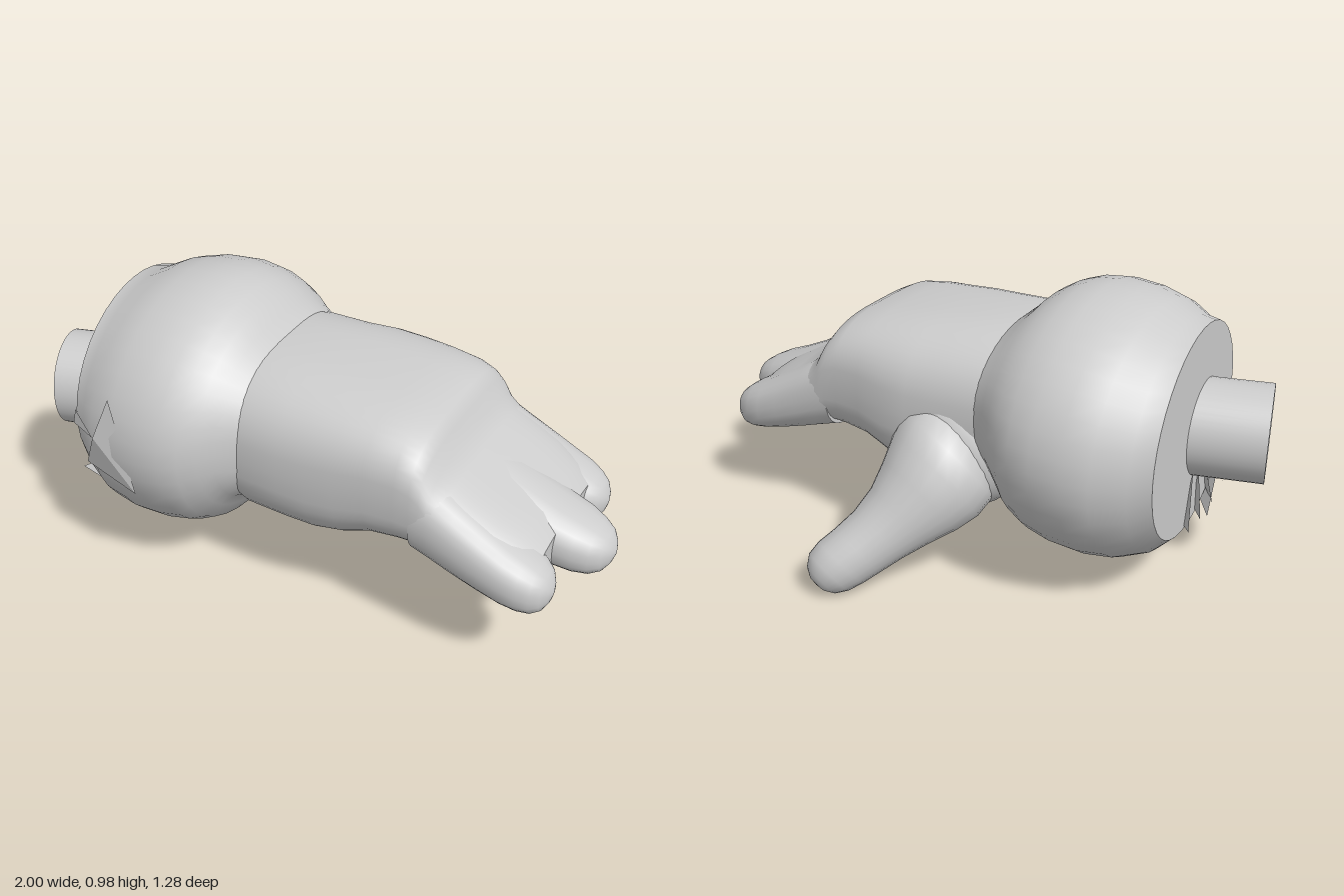
import * as THREE from 'three';

const grey = new THREE.MeshStandardMaterial({ color: 0xcccccc, side: THREE.DoubleSide });
grey.name = 'light grey';

// Loft along x. Each section: [x, yBottom, yTop, zMin, zMax, squareness]
// tilt leans the end rings sideways, taper narrows the upper half
function loft(sections, n, { tilt = () => 0, taper = 0 } = {}) {
  const pos = [], index = [];
  const ring = ([x, y0, y1, z0, z1, e]) => {
    for (let j = 0; j < n; j++) {
      const a = (j / n) * Math.PI * 2, c = Math.cos(a), s = Math.sin(a);
      const dy = Math.sign(c) * Math.abs(c) ** (2 / e) * (y1 - y0) / 2;
      const dz = Math.sign(s) * Math.abs(s) ** (2 / e) * (z1 - z0) / 2 * (1 - taper * Math.max(0, c));
      pos.push(x + tilt(x) * dz, (y0 + y1) / 2 + dy, (z0 + z1) / 2 + dz);
    }
  };
  sections.forEach(ring);
  for (let i = 0; i < sections.length - 1; i++) {
    for (let j = 0; j < n; j++) {
      const k = (j + 1) % n, a = i * n, b = a + n;
      index.push(a + j, a + k, b + j, a + k, b + k, b + j);
    }
  }
  // flat end caps with their own corners, so the rims stay sharp
  [[sections[0], true], [sections[sections.length - 1], false]].forEach(([s, back]) => {
    const base = pos.length / 3;
    ring(s);
    pos.push(s[0], (s[1] + s[2]) / 2, (s[3] + s[4]) / 2);
    for (let j = 0; j < n; j++) {
      const k = (j + 1) % n;
      index.push(base + n, base + (back ? k : j), base + (back ? j : k));
    }
  });
  const g = new THREE.BufferGeometry();
  g.setAttribute('position', new THREE.Float32BufferAttribute(pos, 3));
  g.setIndex(index);
  g.computeVertexNormals();
  return g;
}

// Loose triangles for torn cloth
function shards(tris) {
  const g = new THREE.BufferGeometry();
  g.setAttribute('position', new THREE.Float32BufferAttribute(tris.flat(2), 3));
  g.computeVertexNormals();
  return g;
}

export function createModel() {
  const group = new THREE.Group();
  const add = (name, geometry) => {
    const m = new THREE.Mesh(geometry, grey);
    m.name = name;
    group.add(m);
    return m;
  };

  // puffy cuff, cut off flat at the wrist end
  add('cuff', loft([
    [-0.755, 0.19, 0.89, -0.27, 0.55, 2],
    [-0.7, 0.13, 0.9, -0.305, 0.575, 2],
    [-0.62, 0.095, 0.942, -0.36, 0.61, 2],
    [-0.53, 0.083, 0.967, -0.383, 0.632, 2],
    [-0.43, 0.09, 0.976, -0.387, 0.638, 2],
    [-0.35, 0.11, 0.966, -0.374, 0.628, 2],
    [-0.29, 0.145, 0.942, -0.345, 0.605, 2.05],
    [-0.24, 0.215, 0.91, -0.308, 0.57, 2.1],
    [-0.2, 0.27, 0.868, -0.272, 0.532, 2.25],
    [-0.16, 0.29, 0.835, -0.248, 0.497, 2.4],
    [-0.11, 0.32, 0.79, -0.22, 0.46, 2.5],
  ], 40, { tilt: (x) => Math.max(0, -0.62 - x) * 0.6 }));

  // palm with a knuckle step, running on into the web between the fingers
  add('palm', loft([
    [-0.25, 0.3, 0.82, -0.23, 0.46, 2.6],
    [-0.14, 0.265, 0.829, -0.25, 0.485, 2.7],
    [0, 0.262, 0.822, -0.255, 0.487, 2.8],
    [0.1, 0.266, 0.818, -0.268, 0.488, 2.9],
    [0.2, 0.29, 0.808, -0.265, 0.484, 3],
    [0.3, 0.335, 0.798, -0.25, 0.479, 3.1],
    [0.4, 0.352, 0.78, -0.24, 0.475, 3.2],
    [0.45, 0.355, 0.755, -0.237, 0.472, 3.2],
    [0.48, 0.355, 0.715, -0.235, 0.47, 3.3],
    [0.505, 0.35, 0.66, -0.233, 0.468, 3.4],
    [0.55, 0.34, 0.612, -0.23, 0.466, 3.6],
    [0.62, 0.325, 0.572, -0.224, 0.46, 3.8],
    [0.7, 0.31, 0.53, -0.21, 0.448, 3.8],
    [0.78, 0.3, 0.486, -0.18, 0.42, 3.5],
    [0.835, 0.32, 0.44, -0.15, 0.39, 3],
  ], 48, { taper: 0.05 }));

  // three sloping fingers, the middle one longest and widest
  const finger = (name, z, zTip, length, width) => {
    const profile = [
      [0, 0.37, 0.64, 0.12], [0.12, 0.355, 0.622, 0.122], [0.3, 0.33, 0.575, 0.122],
      [0.5, 0.305, 0.525, 0.121], [0.68, 0.285, 0.48, 0.117], [0.8, 0.276, 0.455, 0.108],
      [0.89, 0.276, 0.43, 0.09], [0.95, 0.29, 0.408, 0.068], [0.985, 0.315, 0.38, 0.038],
      [1, 0.34, 0.355, 0.008],
    ];
    add(name, loft(profile.map(([t, y0, y1, w]) => {
      const c = z + (zTip - z) * t;
      return [0.45 + length * t, y0, y1, c - w * width, c + w * width, 2.4];
    }), 24));
  };
  finger('frontFinger', 0.35, 0.372, 0.445, 1);
  finger('middleFinger', 0.12, 0.105, 0.55, 1.12);
  finger('backFinger', -0.112, -0.135, 0.445, 1);

  // thumb: tapering rounded cone, bent slightly, pointing down and back
  const thumbProfile = [[0, -0.06], [0.12, -0.04], [0.18, 0.02], [0.203, 0.1], [0.195, 0.18],
    [0.166, 0.27], [0.133, 0.36], [0.112, 0.45], [0.104, 0.53], [0.1, 0.59], [0.089, 0.636],
    [0.064, 0.672], [0.032, 0.69], [0, 0.694]].map(([r, y]) => new THREE.Vector2(r, y));
  const thumbGeo = new THREE.LatheGeometry(thumbProfile, 24);
  const axis = new THREE.Vector3(0.225, -0.36, -0.43).normalize();
  thumbGeo.applyQuaternion(new THREE.Quaternion().setFromUnitVectors(new THREE.Vector3(0, 1, 0), axis));
  const p = thumbGeo.attributes.position;
  const v = new THREE.Vector3();
  for (let i = 0; i < p.count; i++) {
    const t = THREE.MathUtils.clamp(v.fromBufferAttribute(p, i).dot(axis) / 0.62, 0, 1);
    p.setX(i, v.x - 0.055 * Math.sin(Math.PI * t));
  }
  thumbGeo.translate(-0.03, 0.445, -0.115);
  thumbGeo.computeVertexNormals();
  add('thumb', thumbGeo);

  // soft mound joining the thumb to the palm
  const mound = add('thumbMound', new THREE.SphereGeometry(1, 28, 18));
  mound.scale.set(0.24, 0.23, 0.19);
  mound.position.set(-0.03, 0.42, -0.11);

  // wrist peg
  const peg = add('wristPeg', new THREE.CylinderGeometry(0.165, 0.165, 0.5, 40));
  const dir = new THREE.Vector3(0.96, 0, -0.275).normalize();
  peg.quaternion.setFromUnitVectors(new THREE.Vector3(0, 1, 0), dir);
  peg.position.set(-0.955, 0.515, 0.285).addScaledVector(dir, 0.25);

  // torn lining fanned out around the lower part of the opening
  const rim = (a, r, x) => [x, 0.54 + 0.35 * r * Math.cos(a), 0.14 + 0.41 * r * Math.sin(a)];
  const fan = [];
  for (let i = 0; i < 5; i++) {
    const a = 2.1 + i * 0.26;
    fan.push([rim(a, 0.45, -0.76), rim(a + 0.03, 0.98, -0.735), rim(a + 0.2, 0.97, -0.79)]);
  }
  add('tornLining', shards(fan));

  // ragged folds lying on the front of the cuff
  const A = [-0.7, 0.62, 0.575], B = [-0.53, 0.73, 0.61], C = [-0.44, 0.41, 0.635],
    D = [-0.59, 0.58, 0.635], E = [-0.65, 0.45, 0.605], F = [-0.71, 0.57, 0.58];
  add('tornFolds', shards([[F, D, A], [D, C, B], [E, C, D],
    [[-0.8, 0.2, 0.2], [-0.66, 0.19, 0.42], [-0.72, 0.37, 0.55]]]));

  return group;
}
